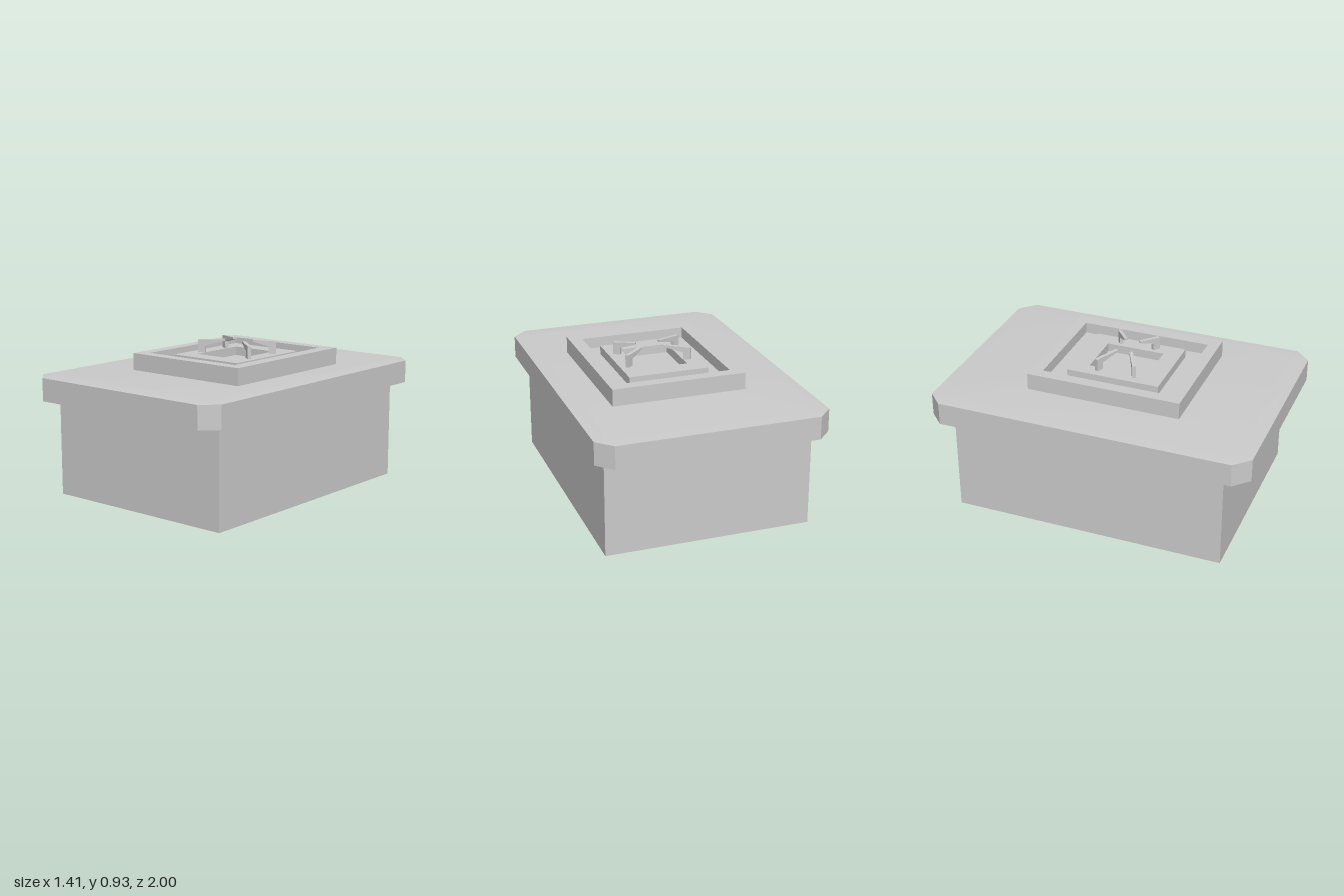
import * as THREE from 'three';
import { toCreasedNormals } from 'three/addons/utils/BufferGeometryUtils.js';

const mat = new THREE.MeshStandardMaterial({ color: 0xcccccc, side: THREE.DoubleSide });

function add(parent, name, geometry) {
  const mesh = new THREE.Mesh(geometry, mat);
  mesh.name = name;
  parent.add(mesh);
  return mesh;
}

// Rectangle with cut corners, as a loop of eight points at height y
function octagon(hx, hz, cut, y) {
  return [
    [hx, hz - cut], [hx, cut - hz], [hx - cut, -hz], [cut - hx, -hz],
    [-hx, cut - hz], [-hx, hz - cut], [cut - hx, hz], [hx - cut, hz],
  ].map(([x, z]) => [x, y, z]);
}

// Joins loops from bottom to top, optionally closing the last one
function loft(loops, cap) {
  const pos = [];
  const tri = (...pts) => pts.forEach((p) => pos.push(...p));
  for (let k = 0; k < loops.length - 1; k++) {
    const a = loops[k], b = loops[k + 1], n = a.length;
    for (let i = 0; i < n; i++) {
      const j = (i + 1) % n;
      tri(a[i], a[j], b[j]);
      tri(a[i], b[j], b[i]);
    }
  }
  if (cap) {
    const top = loops[loops.length - 1];
    for (let i = 1; i < top.length - 1; i++) tri(top[0], top[i], top[i + 1]);
  }
  const geo = new THREE.BufferGeometry();
  geo.setAttribute('position', new THREE.Float32BufferAttribute(pos, 3));
  geo.computeVertexNormals();
  return geo;
}

const rect = (x0, x1, z, y) => [[x1, y, z], [x1, y, -z], [x0, y, -z], [x0, y, z]];

// Rectangular ring: outer wall, flat top, inner wall
function ring(outer, inner, y0, y1) {
  return loft([rect(...outer, y0), rect(...outer, y1), rect(...inner, y1), rect(...inner, y0)], false);
}

// Bracket: a short foot with a tapering arm, running from its foot to its tip
function bracket(x0, z0, x1, z1) {
  const L = Math.hypot(x1 - x0, z1 - z0), t = 0.022;
  const profile = [[0, 0.835], [0.046, 0.835], [0.046, 0.886], [L, 0.916], [L, 0.927], [0, 0.918]];
  const shape = new THREE.Shape(profile.map(([x, y]) => new THREE.Vector2(x, y)));
  const geo = new THREE.ExtrudeGeometry(shape, { depth: t, bevelEnabled: false });
  geo.translate(0, 0, -t / 2);
  geo.rotateY(Math.atan2(z0 - z1, x1 - x0));
  geo.translate(x0, 0, z0);
  return geo;
}

export function createModel() {
  const model = new THREE.Group();
  model.name = 'box';

  // Thin walls, open above and below
  add(model, 'walls', loft([rect(-0.63, 0.63, 0.845, 0), rect(-0.63, 0.63, 0.845, 0.607)], false));

  // Overhanging lid, hollow underneath, with a shallow slope round its top
  const lid = loft([
    octagon(0.703, 1, 0.092, 0.605),
    octagon(0.703, 1, 0.092, 0.745),
    octagon(0.63, 0.915, 0.04, 0.752),
  ], true);
  add(model, 'lid', toCreasedNormals(lid, 0.5));

  // Two nested frames on the lid with a recessed floor between and inside them
  const emblem = new THREE.Group();
  emblem.name = 'topFrames';
  model.add(emblem);
  add(emblem, 'outerFrame', ring([-0.362, 0.462, 0.482], [-0.29, 0.38, 0.41], 0.75, 0.856));
  add(emblem, 'innerFrame', ring([-0.2, 0.298, 0.292], [-0.105, 0.197, 0.184], 0.785, 0.841));
  const floor = new THREE.PlaneGeometry(0.67, 0.82).rotateX(-Math.PI / 2).translate(0.045, 0.787, 0);
  add(emblem, 'recessFloor', floor);

  // Four brackets reaching in over the recess
  for (const s of [1, -1]) {
    add(emblem, 'rightBracket', bracket(-0.152, 0.122 * s, 0, 0.045 * s));
    add(emblem, 'leftBracket', bracket(0.26, 0.13 * s, 0.147, 0.045 * s));
  }
  return model;
}
